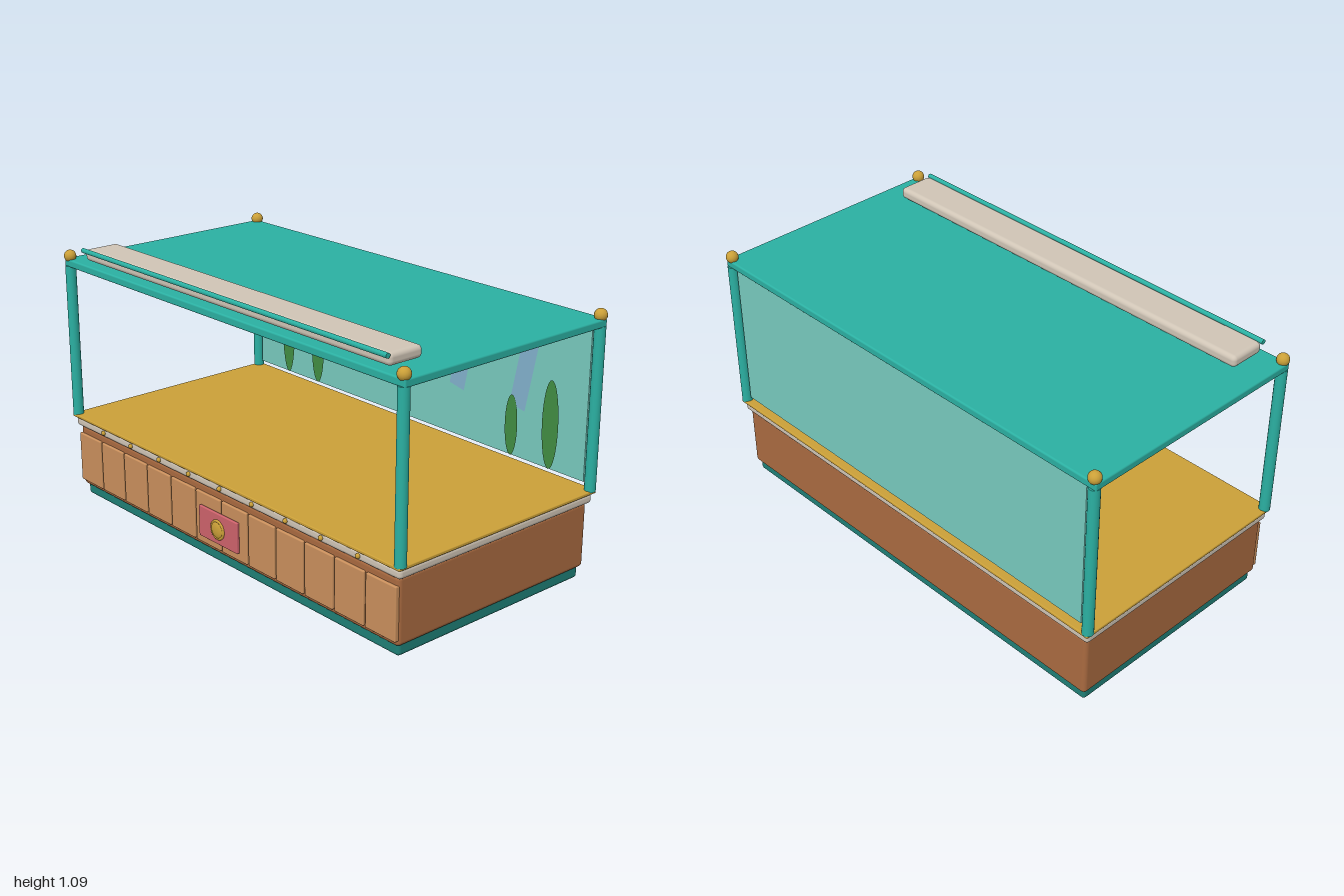
import * as THREE from 'three';
import { RoundedBoxGeometry } from 'three/addons/geometries/RoundedBoxGeometry.js';

const mat = (name, color) => {
  const m = new THREE.MeshStandardMaterial({ color });
  m.name = name;
  return m;
};

export function createModel() {
  const teal = mat('teal', 0x2bb0a2);
  const deepTeal = mat('deep teal', 0x1f7f76);
  const glass = mat('pale glass', 0x78cabe);
  const glint = mat('blue glint', 0x82b0cc);
  const wood = mat('brown wood', 0xa96a40);
  const panelWood = mat('light wood', 0xc98f5c);
  const pink = mat('rose', 0xcd626b);
  const cream = mat('cream', 0xd0c5b6);
  const gold = mat('gold', 0xcba038);
  const green = mat('leaf green', 0x418c42);
  green.side = THREE.DoubleSide;
  glint.side = THREE.DoubleSide;

  const model = new THREE.Group();
  model.name = 'displayTank';

  const add = (name, geometry, material, x = 0, y = 0, z = 0) => {
    const mesh = new THREE.Mesh(geometry, material);
    mesh.name = name;
    mesh.position.set(x, y, z);
    model.add(mesh);
    return mesh;
  };
  // Rounded slab given by its size, bottom height and depth position
  const slab = (name, w, h, d, r, material, bottom, z = -0.003, x = 0) =>
    add(name, new RoundedBoxGeometry(w, h, d, 3, r), material, x, bottom + h / 2, z);

  // Cabinet, from the plinth up to the tank floor
  slab('plinth', 1.91, 0.075, 0.945, 0.015, deepTeal, 0);
  slab('cabinet', 1.935, 0.27, 0.975, 0.018, wood, 0.046);
  slab('creamBand', 1.965, 0.042, 0.998, 0.016, cream, 0.31);
  slab('tankFloor', 1.98, 0.014, 1.018, 0.004, gold, 0.35);

  // Front boards
  const pitch = 0.1613;
  for (let i = 0; i < 12; i++) {
    slab('frontBoard', 0.152, 0.212, 0.022, 0.005, panelWood, 0.069, 0.484, (i - 5.5) * pitch);
  }

  // Studs along the band
  const studGeo = new THREE.SphereGeometry(0.01, 12, 8);
  for (let i = -4; i <= 4; i++) add('stud', studGeo, gold, i * 0.194, 0.332, 0.498);

  // Plaque with round knob
  slab('plaque', 0.235, 0.128, 0.014, 0.004, pink, 0.104, 0.503);
  const dome = add('knob', new THREE.SphereGeometry(0.037, 24, 12), gold, 0, 0.166, 0.509);
  dome.scale.z = 0.32;
  add('knobRim', new THREE.TorusGeometry(0.036, 0.006, 8, 28), gold, 0, 0.166, 0.51);

  // Corner posts with ball finials
  const postGeo = new THREE.CylinderGeometry(0.022, 0.022, 0.645, 20);
  const ballGeo = new THREE.SphereGeometry(0.025, 20, 14);
  for (const x of [-0.975, 0.975]) {
    for (const z of [-0.493, 0.487]) {
      add('cornerPost', postGeo, teal, x, 0.6825, z);
      add('finial', ballGeo, gold, x, 1.045, z);
    }
  }

  // Roof and lamp bar
  slab('roof', 1.99, 0.032, 1.01, 0.007, teal, 1.001);
  slab('lampFoot', 1.68, 0.016, 0.09, 0.005, cream, 1.029, 0.395);
  slab('lampBar', 1.78, 0.048, 0.155, 0.018, cream, 1.039, 0.393);
  const tube = add('lampTube', new THREE.CylinderGeometry(0.01, 0.01, 1.78, 14), teal, 0, 1.082, 0.478);
  tube.rotation.z = Math.PI / 2;

  // Back pane
  add('backPane', new THREE.BoxGeometry(1.89, 0.615, 0.008), glass, 0, 0.695, -0.493);

  // Slanted glints on the pane
  const glintGeo = new THREE.PlaneGeometry(0.08, 0.385);
  for (let i = -2; i <= 2; i++) {
    add('glint', glintGeo, glint, i * 0.321, 0.78, -0.486).rotation.z = -0.2;
  }

  // Flat leaves: x, height, width
  const leafGeo = new THREE.CircleGeometry(0.5, 32);
  for (const [x, h, w] of [[-0.747, 0.39, 0.08], [-0.552, 0.31, 0.078], [0.582, 0.248, 0.064], [0.777, 0.357, 0.08]]) {
    add('leaf', leafGeo, green, x, 0.39 + h / 2, -0.481).scale.set(w, h, 1);
  }

  return model;
}
